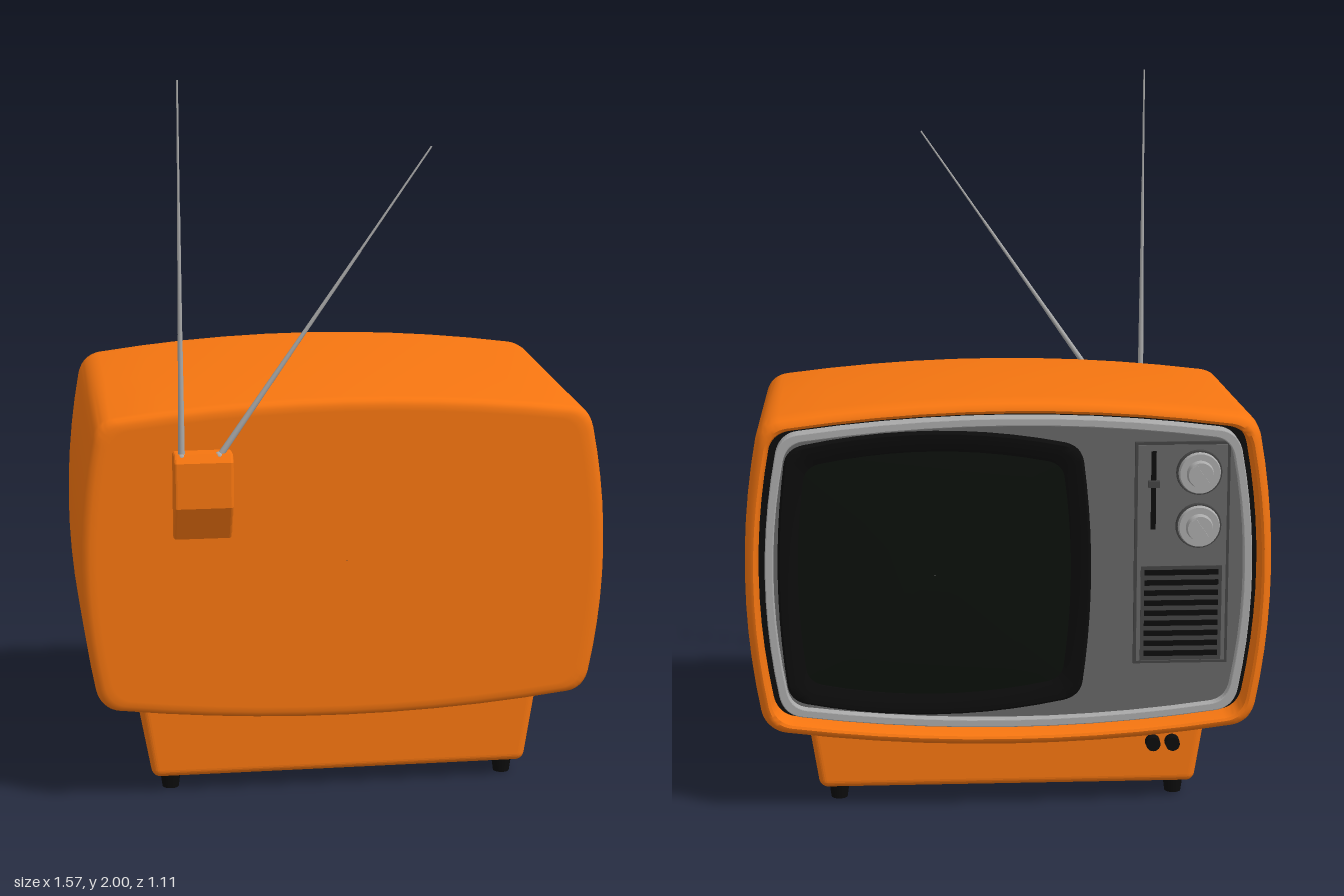
import * as THREE from 'three';
import { toCreasedNormals } from 'three/addons/utils/BufferGeometryUtils.js';
import { RoundedBoxGeometry } from 'three/addons/geometries/RoundedBoxGeometry.js';

const paint = (color) => new THREE.MeshStandardMaterial({ color });
const orange = paint(0xf57510), black = paint(0x0c0c0c), glass = paint(0x0b100b);
const silver = paint(0xaaaaaa), grey = paint(0x666666), darkGrey = paint(0x444444);

// Rounded rectangle with gently bowed sides
function bowedShape(hw, hh, Type = THREE.Shape) {
  const cx = hw * 0.95, cy = hh * 0.91, r = hh * 0.13;
  const sx = 2 * (hw - cx) / (cy - r) * r, sy = 2 * (hh - cy) / (cx - r) * r;
  const bx = 2 * hw - cx, by = 2 * hh - cy;
  const s = new Type();
  s.moveTo(cx, -cy + r);
  s.quadraticCurveTo(bx, 0, cx, cy - r);
  s.quadraticCurveTo(cx - sx, cy - sy, cx - r, cy);
  s.quadraticCurveTo(0, by, -cx + r, cy);
  s.quadraticCurveTo(-cx + sx, cy - sy, -cx, cy - r);
  s.quadraticCurveTo(-bx, 0, -cx, -cy + r);
  s.quadraticCurveTo(-cx + sx, -cy + sy, -cx + r, -cy);
  s.quadraticCurveTo(0, -by, cx - r, -cy);
  s.quadraticCurveTo(cx - sx, -cy + sy, cx, -cy + r);
  return s;
}

// Skin through bowed sections, each ring being [z, halfWidth, halfHeight]
function loft(rings) {
  const pos = [], index = [];
  const n = bowedShape(1, 1).getPoints(10).length;
  rings.forEach(([z, hw, hh], i) => {
    bowedShape(hw, hh).getPoints(10).forEach((p, j) => {
      pos.push(p.x, p.y, z);
      if (i && j < n - 1) {
        const a = (i - 1) * n + j, b = i * n + j;
        index.push(a, a + 1, b + 1, a, b + 1, b);
      }
    });
  });
  const g = new THREE.BufferGeometry();
  g.setAttribute('position', new THREE.Float32BufferAttribute(pos, 3));
  g.setIndex(index);
  return toCreasedNormals(g, 0.7);
}

export function createModel() {
  const model = new THREE.Group();
  model.name = 'television';
  const set = new THREE.Group();
  set.name = 'televisionSet';
  set.rotation.y = THREE.MathUtils.degToRad(170);
  model.add(set);

  const add = (name, geometry, material, x = 0, y = 0, z = 0, parent = set) => {
    const m = new THREE.Mesh(geometry, material);
    m.name = name;
    m.position.set(x, y, z);
    parent.add(m);
    return m;
  };
  const box = (w, h, d) => new THREE.BoxGeometry(w, h, d);
  const disc = (r1, r2, d, n = 32) => new THREE.CylinderGeometry(r1, r2, d, n).rotateX(Math.PI / 2);
  const midY = 0.69, tiny = 0.001;

  // Cabinet shell, growing taller to the front, with a rolled rim
  add('cabinet', loft([
    [-0.44, tiny, tiny], [-0.44, 0.68, 0.415], [-0.44, 0.70, 0.43], [-0.434, 0.714, 0.441],
    [-0.424, 0.722, 0.447], [-0.405, 0.725, 0.45], [0, 0.726, 0.47], [0.36, 0.726, 0.49],
    [0.40, 0.724, 0.489], [0.425, 0.718, 0.483], [0.437, 0.709, 0.474], [0.44, 0.70, 0.465],
    [0.436, 0.693, 0.458], [0.425, 0.69, 0.455], [0.35, 0.688, 0.453],
  ]), orange, 0, midY);

  // Front: dark gasket, silver bezel ring and grey face
  add('gasket', loft([[0.35, 0.70, 0.465], [0.365, 0.69, 0.455], [0.365, tiny, tiny]]), black, 0, midY);
  const ring = bowedShape(0.667, 0.437);
  ring.holes.push(bowedShape(0.65, 0.42, THREE.Path));
  add('bezelRing', new THREE.ExtrudeGeometry(ring, {
    depth: 0.045, bevelSize: 0.003, bevelThickness: 0.004, bevelSegments: 2, curveSegments: 10,
  }), silver, 0, midY, 0.365);
  add('frontFace', loft([[0.36, 0.655, 0.425], [0.388, 0.655, 0.425], [0.388, tiny, tiny]]), grey, 0, midY);

  // Picture tube
  add('screenSurround', loft([
    [0.38, 0.43, 0.402], [0.402, 0.43, 0.402], [0.408, 0.424, 0.396],
    [0.408, 0.405, 0.377], [0.392, 0.375, 0.345],
  ]), black, -0.205, midY);
  add('screen', loft([
    [0.391, 0.385, 0.355], [0.398, 0.31, 0.285], [0.404, 0.2, 0.185], [0.407, 0.1, 0.09], [0.408, tiny, tiny],
  ]), glass, -0.205, midY);

  // Control panel
  const controls = new THREE.Group();
  controls.name = 'controls';
  set.add(controls);
  const part = (name, g, mat, x, y, z) => add(name, g, mat, x, y, z, controls);
  part('controlPanelEdge', box(0.262, 0.63, 0.014), darkGrey, 0.475, 0.74, 0.39);
  part('controlPanel', box(0.246, 0.614, 0.014), grey, 0.475, 0.74, 0.392);
  part('sliderSlot', box(0.014, 0.22, 0.006), black, 0.395, 0.92, 0.398);
  part('sliderHandle', box(0.032, 0.018, 0.02), darkGrey, 0.395, 0.94, 0.405);
  for (const y of [0.97, 0.82]) {
    part('dialPlate', disc(0.062, 0.064, 0.012), darkGrey, 0.52, y, 0.403);
    part('dialRing', disc(0.055, 0.06, 0.02), silver, 0.52, y, 0.412);
    part('dialKnob', disc(0.034, 0.038, 0.022), silver, 0.52, y, 0.43);
    part('dialGrip', box(0.014, 0.066, 0.016), silver, 0.52, y, 0.447).rotation.z = 0.6;
  }
  part('speakerBacking', box(0.225, 0.27, 0.004), darkGrey, 0.475, 0.57, 0.399);
  for (let i = 0; i < 9; i++) {
    part('speakerSlot', box(0.205, 0.015, 0.008), black, 0.475, 0.455 + i * 0.029, 0.4);
  }

  // Base, flaring slightly to the top
  const baseGeo = new RoundedBoxGeometry(1.06, 0.28, 0.644, 4, 0.022);
  const p = baseGeo.attributes.position;
  for (let i = 0; i < p.count; i++) p.setX(i, p.getX(i) * (1 + 0.3 * (p.getY(i) + 0.14)));
  baseGeo.computeVertexNormals();
  add('base', baseGeo, orange, 0, 0.185, 0);
  for (const x of [-0.477, 0.477]) for (const z of [-0.26, 0.26]) {
    add('foot', new THREE.CylinderGeometry(0.03, 0.023, 0.05, 20), black, x, 0.025, z);
  }
  for (const x of [0.41, 0.465]) {
    add('baseKnob', disc(0.02, 0.021, 0.03, 20), black, x, 0.17, 0.338);
    add('baseKnobStem', disc(0.012, 0.012, 0.03, 16), black, x, 0.17, 0.322);
  }

  // Antenna housing on the back, sloping in at the bottom
  const profile = new THREE.Shape([
    [0.42, 0.775], [0.445, 0.775], [0.495, 0.865], [0.497, 0.985], [0.485, 1.002], [0.42, 1.002],
  ].map(([u, v]) => new THREE.Vector2(u, v)));
  const housing = new THREE.ExtrudeGeometry(profile, {
    depth: 0.144, bevelSize: 0.008, bevelThickness: 0.008, bevelSegments: 3,
  }).rotateY(Math.PI / 2);
  add('antennaHousing', housing, orange, 0.323, 0, 0);

  // Telescopic antennas, each of three narrowing tubes
  const rod = (from, to) => {
    const antenna = new THREE.Group();
    antenna.name = 'antenna';
    const dir = to.clone().sub(from), len = dir.length();
    antenna.position.copy(from);
    antenna.quaternion.setFromUnitVectors(new THREE.Vector3(0, 1, 0), dir.normalize());
    set.add(antenna);
    add('antennaPivot', new THREE.SphereGeometry(0.014, 16, 12), silver, 0, 0, 0, antenna);
    [0.009, 0.006, 0.0035].forEach((r, i) => {
      add('antennaTube', new THREE.CylinderGeometry(r * 0.7, r, len / 3, 12), silver, 0, len * (i + 0.5) / 3, 0, antenna);
    });
  };
  rod(new THREE.Vector3(0.453, 1.0, -0.481), new THREE.Vector3(0.453, 2.0, -0.481));
  rod(new THREE.Vector3(0.352, 1.0, -0.481), new THREE.Vector3(-0.217, 1.82, -0.481));

  return model;
}
